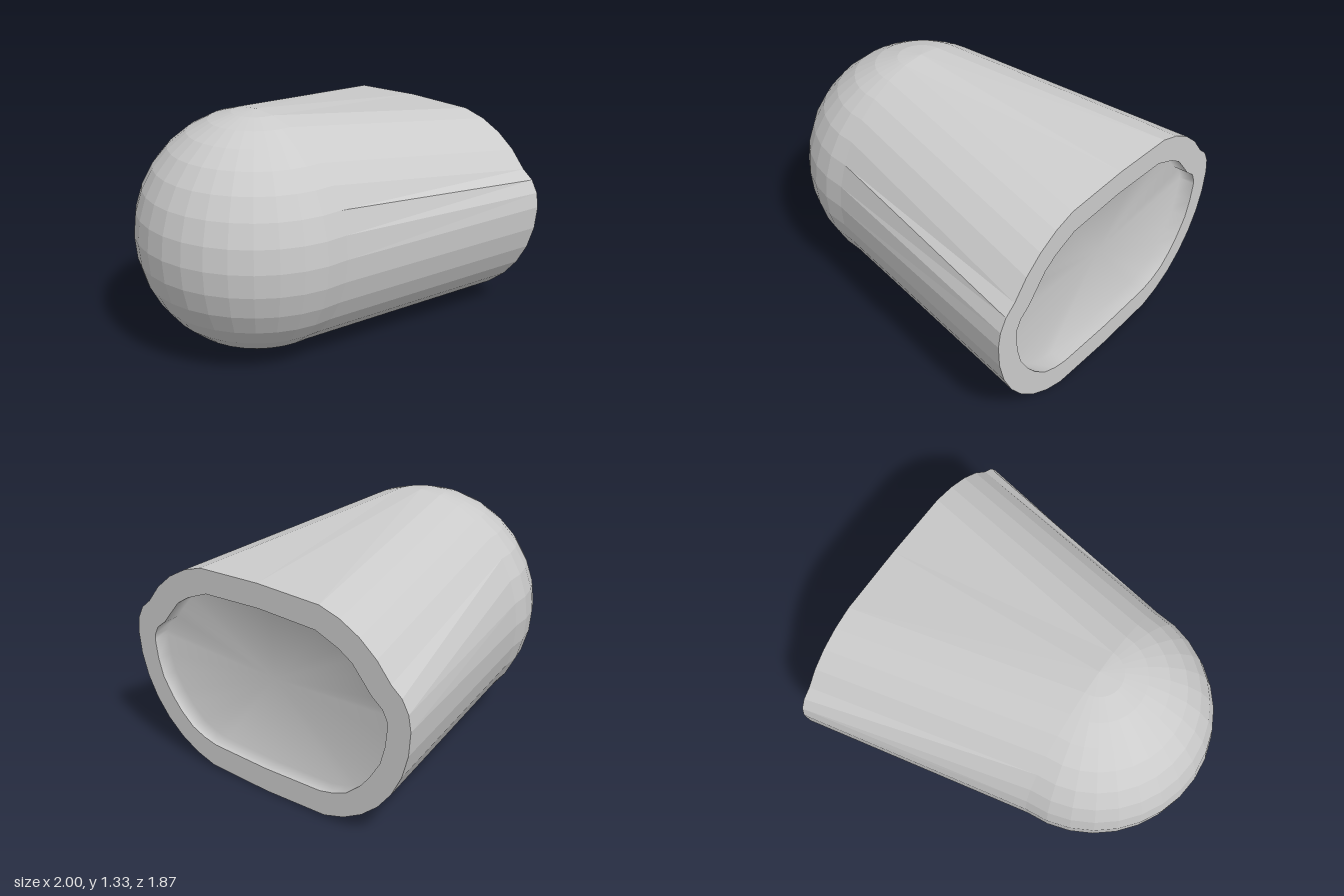
import * as THREE from 'three';

const R = 0.667, CX = -0.333, CY = 0.667, N = 32;

// Half outline of the recess, as [z, y] from top to bottom
const recessHalf = [
  [0, 1.035], [0.37, 1.02], [0.51, 0.965], [0.59, 0.915], [0.655, 0.84], [0.705, 0.78],
  [0.77, 0.73], [0.795, 0.68], [0.8, 0.65], [0.785, 0.54], [0.755, 0.44], [0.69, 0.34],
  [0.63, 0.27], [0.545, 0.2], [0.46, 0.165], [0.37, 0.145], [0, 0.135],
];

// Half circle as [z, y] from top to bottom
const circleHalf = Array.from({ length: N / 2 + 1 }, (_, i) => {
  const a = (i / N) * Math.PI * 2;
  return [R * Math.sin(a), CY + R * Math.cos(a)];
});

// Half outline of the open end: the circle spread sideways, with its top lowered
const rimHalf = circleHalf.map(([z, y], i) => {
  const spread = i % (N / 2) === 0 ? 0 : 0.267;
  const drop = i < 6 ? 0.167 : [0.102, 0.047][i - 6] ?? 0;
  return [z + spread, y - drop];
});

// Mirror a half outline into a closed ring at x
function ring(half, x) {
  const mirrored = half.slice(1, -1).reverse().map(([z, y]) => [-z, y]);
  return [...half, ...mirrored].map(([z, y]) => [x, y, z]);
}

// Skin a series of closed rings
function loft(rings) {
  const index = [];
  for (let i = 0; i < rings.length - 1; i++) {
    for (let j = 0; j < N; j++) {
      const k = (j + 1) % N;
      const a = i * N + j, b = i * N + k, c = a + N, d = b + N;
      index.push(a, b, c, b, d, c);
    }
  }
  const geo = new THREE.BufferGeometry();
  geo.setAttribute('position', new THREE.Float32BufferAttribute(rings.flat(2), 3));
  geo.setIndex(index);
  geo.computeVertexNormals();
  return geo;
}

export function createModel() {
  const group = new THREE.Group();
  const flat = new THREE.MeshStandardMaterial({ color: 0xcccccc, flatShading: true });
  const smooth = new THREE.MeshStandardMaterial({ color: 0xcccccc });
  const add = (name, geo, mat) => {
    const mesh = new THREE.Mesh(geo, mat);
    mesh.name = name;
    group.add(mesh);
    return mesh;
  };

  // Faceted rounded end
  const dome = new THREE.SphereGeometry(R, 16, 16, -Math.PI / 2, Math.PI);
  add('roundedEnd', dome, flat).position.set(CX, CY, 0);

  // Outer wall spreading from the rounded end to the wide opening
  const rim = ring(rimHalf, 1);
  add('outerWall', loft([ring(circleHalf, CX), rim]), flat);

  // Flat rim around the opening
  const lip = ring(recessHalf, 1);
  add('rim', loft([rim, lip]), flat);

  // Shallow recess: a short lip and a softly shaded floor
  const floorEdge = ring(recessHalf, 0.91);
  const floorCentre = floorEdge.map(() => [0.91, 0.62, 0]);
  add('recess', loft([lip, floorEdge, floorCentre]), smooth);

  return group;
}
